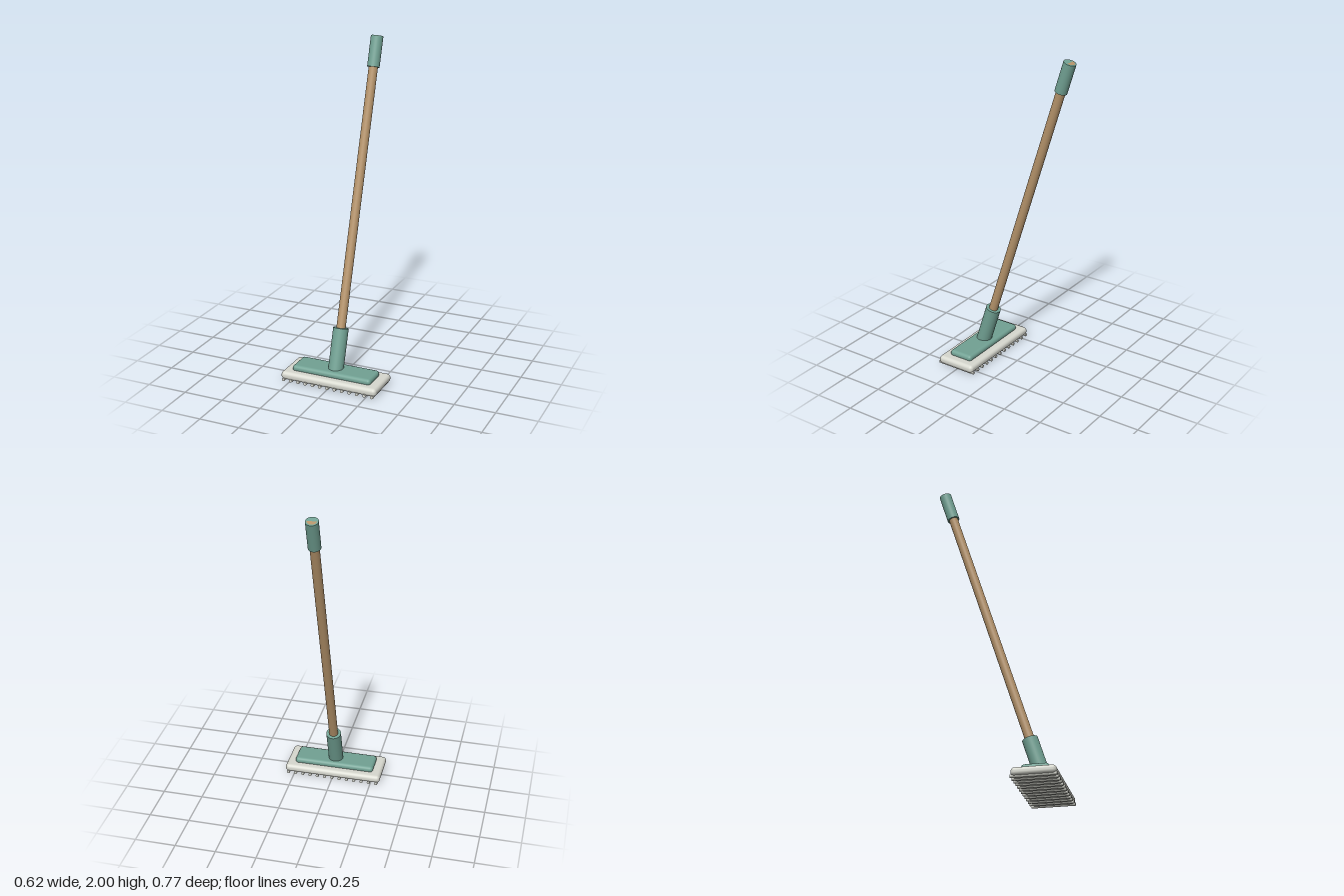
import * as THREE from 'three';
import { RoundedBoxGeometry } from 'three/addons/geometries/RoundedBoxGeometry.js';

export function createModel() {
  const model = new THREE.Group();
  model.name = 'floorMop';

  const material = (name, color) => {
    const m = new THREE.MeshStandardMaterial({ color });
    m.name = name;
    return m;
  };
  const teal = material('teal plastic', 0x72a294);
  const wood = material('wood', 0xb6946b);
  const cloth = material('off-white pad', 0xd8d9d0);

  const add = (parent, name, geometry, mat, x, y, z) => {
    const mesh = new THREE.Mesh(geometry, mat);
    mesh.name = name;
    mesh.position.set(x, y, z);
    parent.add(mesh);
    return mesh;
  };

  // Flat head: soft pad with a plastic plate on top
  const headZ = 0.255;
  add(model, 'pad', new RoundedBoxGeometry(0.618, 0.05, 0.252, 5, 0.022), cloth, 0, 0.033, headZ);
  add(model, 'plate', new RoundedBoxGeometry(0.51, 0.042, 0.158, 5, 0.02), teal, 0, 0.068, headZ);

  // Rows of ridges under the pad, running front to back
  const ridges = new THREE.Group();
  ridges.name = 'padRidges';
  model.add(ridges);
  const ridge = new THREE.CylinderGeometry(0.01, 0.01, 0.259, 12).rotateX(Math.PI / 2);
  for (let i = -6; i <= 6; i++) add(ridges, 'ridge', ridge, cloth, i * 0.048, 0.01, headZ);

  // Handle leaning back; local y runs down from the tip at 0
  const handle = new THREE.Group();
  handle.name = 'handle';
  handle.position.set(0, 1.989, -0.349);
  handle.rotation.x = -0.306;
  model.add(handle);

  const rod = (name, r, top, bottom, mat) =>
    add(handle, name, new THREE.CylinderGeometry(r, r, top - bottom, 32), mat, 0, (top + bottom) / 2, 0);
  rod('grip', 0.0372, 0, -0.186, teal);
  rod('pole', 0.0277, -0.02, -1.9, wood);
  rod('socket', 0.0465, -1.752, -2.01, teal);

  // Wood showing at the tip of the grip
  const tip = new THREE.CircleGeometry(0.0277, 24, 0, Math.PI).rotateX(-Math.PI / 2);
  add(handle, 'poleEnd', tip, wood, 0, 0.001, 0);

  return model;
}
